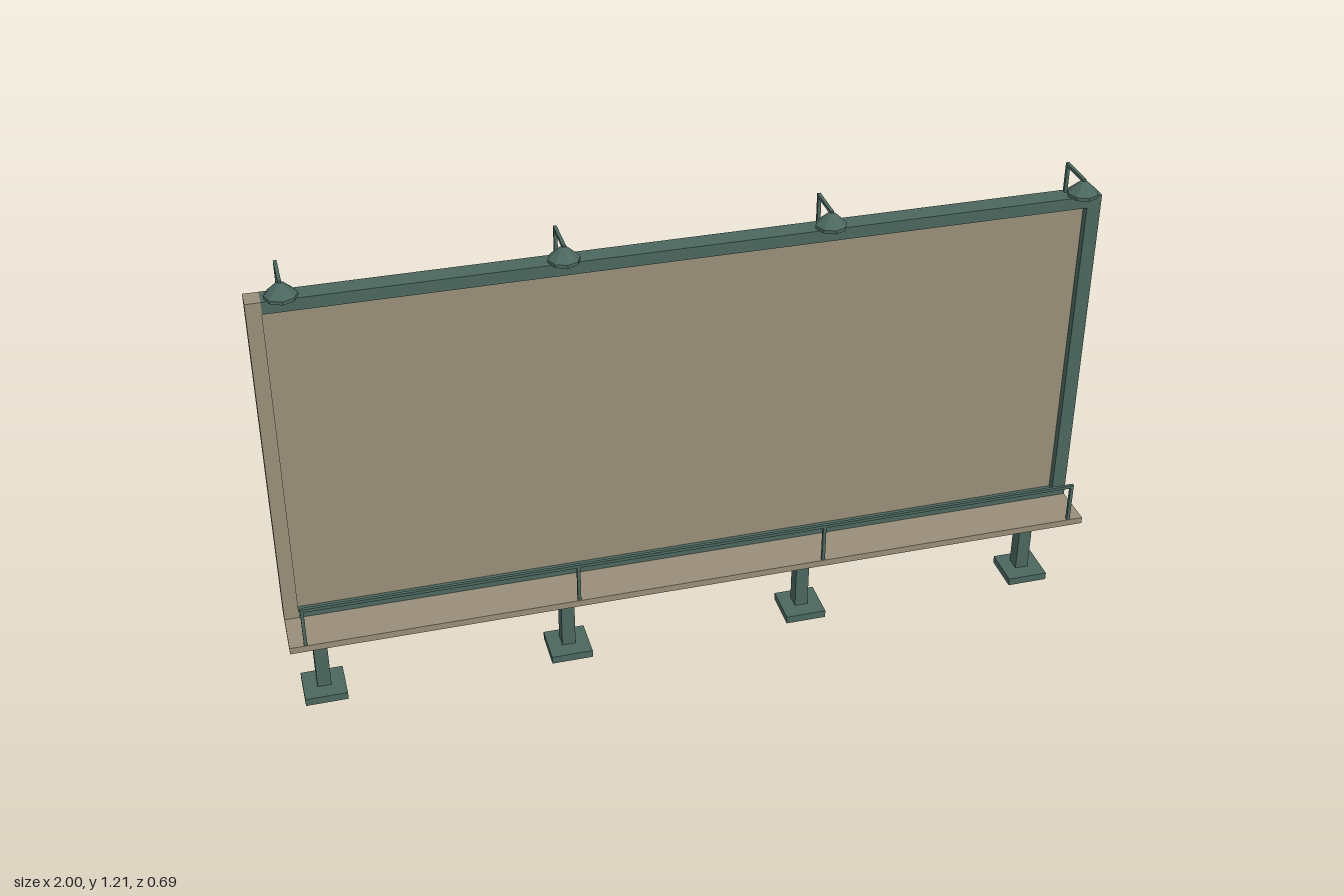
import * as THREE from 'three';

export function createModel() {
  const model = new THREE.Group();
  model.name = 'billboard';
  const green = new THREE.MeshStandardMaterial({ color: 0x4b675f });
  green.name = 'green steel';
  const tan = new THREE.MeshStandardMaterial({ color: 0x988e79 });
  tan.name = 'tan board';

  const add = (name, geo, mat, parent = model) => {
    const mesh = new THREE.Mesh(geo, mat);
    mesh.name = name;
    parent.add(mesh);
    return mesh;
  };
  // Box given by its limits on each axis
  const box = (name, mat, [x0, x1], [y0, y1], [z0, z1], parent) =>
    add(name, new THREE.BoxGeometry(x1 - x0, y1 - y0, z1 - z0), mat, parent)
      .position.set((x0 + x1) / 2, (y0 + y1) / 2, (z0 + z1) / 2);
  // Square beam in the plane x = 0 between two [y, z] points
  const beam = (name, [y0, z0], [y1, z1], width, thick, parent) => {
    const dy = y1 - y0, dz = z1 - z0;
    const mesh = add(name, new THREE.BoxGeometry(width, Math.hypot(dy, dz), thick), green, parent);
    mesh.position.set(0, (y0 + y1) / 2, (z0 + z1) / 2);
    mesh.rotation.x = Math.atan2(dz, dy);
  };

  // Board and its frame
  const depth = [0.186, 0.235];
  box('panel', tan, [-0.97, 0.97], [0.27, 1.11], [0.2, 0.216]);
  box('frameTop', green, [-0.965, 1], [1.1, 1.13], depth);
  box('frameBottom', green, [-0.965, 1], [0.255, 0.288], depth);
  box('frameLeft', green, [0.965, 1], [0.288, 1.1], depth);
  box('frameRight', tan, [-1, -0.965], [0.255, 1.13], depth);

  // Walkway and guard rail
  box('walkway', tan, [-1, 1], [0.253, 0.27], [0.235, 0.345]);
  box('guardRail', green, [-0.966, 0.966], [0.367, 0.375], [0.336, 0.344]);
  for (const x of [-0.962, -0.308, 0.308, 0.962])
    box('railPost', green, [x - 0.004, x + 0.004], [0.27, 0.37], [0.336, 0.344]);

  // Lamp shade profile, shared by all lamps
  const shade = new THREE.LatheGeometry([
    [0, 1.168], [0.034, 1.163], [0.037, 1.164], [0.037, 1.172], [0.01, 1.197], [0, 1.203],
  ].map(([r, y]) => new THREE.Vector2(r, y)), 8).toNonIndexed();
  shade.computeVertexNormals();

  // Four supports, each with post, back brace, walkway bracket and lamp
  for (const x of [-0.923, -0.308, 0.308, 0.923]) {
    const support = new THREE.Group();
    support.name = 'support';
    support.position.x = x;
    model.add(support);
    box('postFoot', green, [-0.052, 0.052], [0, 0.02], [0.135, 0.239], support);
    box('post', green, [-0.017, 0.017], [0.02, 1.11], [0.16, 0.198], support);
    box('braceFoot', green, [-0.052, 0.052], [0, 0.02], [-0.344, -0.24], support);
    beam('backBrace', [0.015, -0.292], [1.045, 0.171], 0.026, 0.034, support);
    box('tie', green, [-0.01, 0.01], [0.282, 0.301], [-0.12, 0.16], support);
    beam('bracketStrut', [0.168, 0.196], [0.249, 0.304], 0.016, 0.013, support);
    beam('bracketArm', [0.236, 0.196], [0.25, 0.295], 0.016, 0.013, support);
    box('lampPole', green, [-0.004, 0.004], [1.1, 1.205], [0.192, 0.2], support);
    box('lampArm', green, [-0.004, 0.004], [1.197, 1.205], [0.2, 0.287], support);
    add('lampShade', shade, green, support).position.z = 0.283;
  }
  return model;
}
